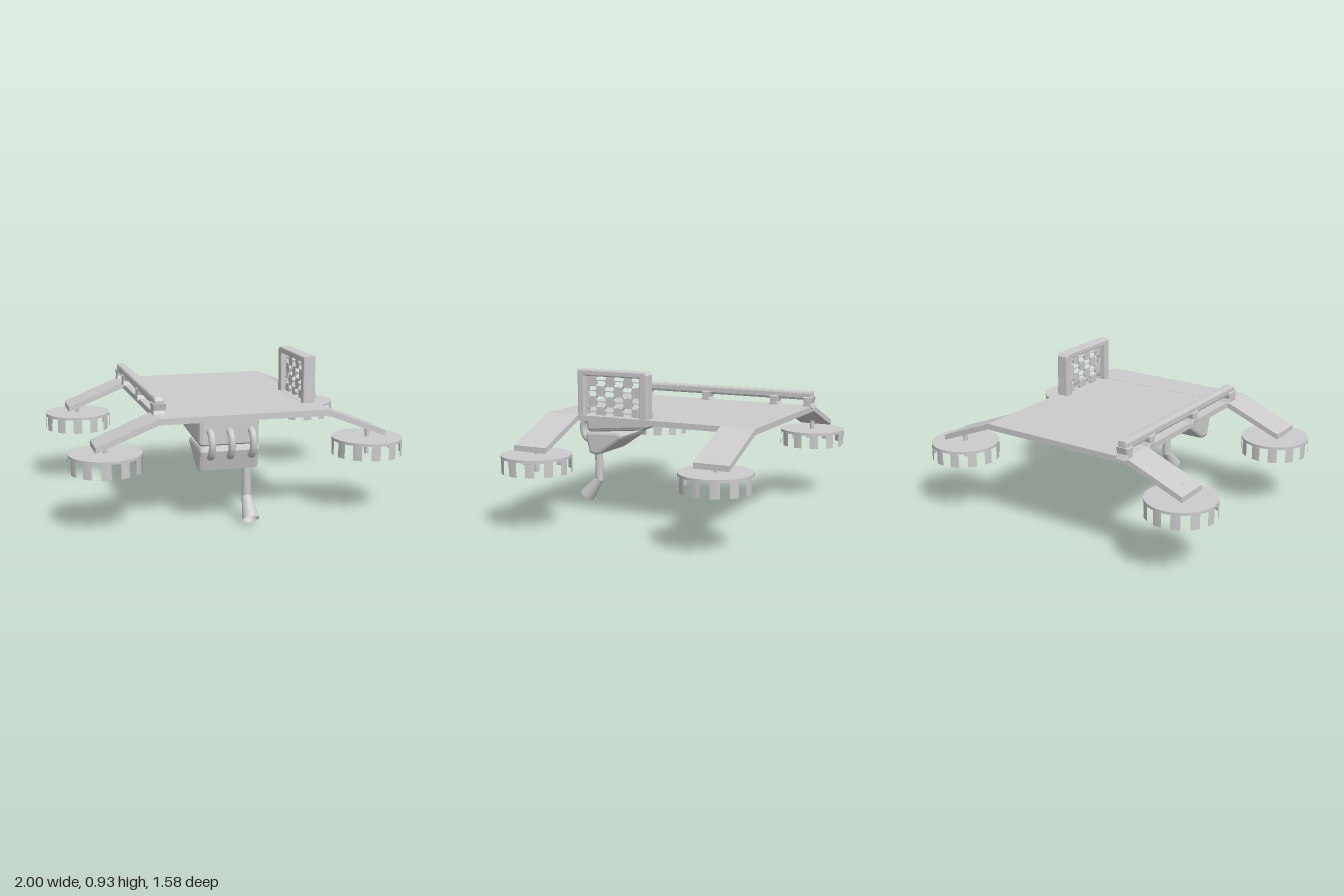
import * as THREE from 'three';

const grey = new THREE.MeshStandardMaterial({ color: 0xcccccc });
const greyDouble = new THREE.MeshStandardMaterial({ color: 0xcccccc, side: THREE.DoubleSide });
const V = (x, y, z) => new THREE.Vector3(x, y, z);

function add(parent, name, geometry, material = grey) {
  const mesh = new THREE.Mesh(geometry, material);
  mesh.name = name;
  parent.add(mesh);
  return mesh;
}

function box(parent, name, w, h, d, x, y, z) {
  const mesh = add(parent, name, new THREE.BoxGeometry(w, h, d));
  mesh.position.set(x, y, z);
  return mesh;
}

// Cylinder or cone between two points
function rod(parent, name, a, b, r0, r1 = r0, open = false) {
  const geo = new THREE.CylinderGeometry(r1, r0, a.distanceTo(b), 20, 1, open);
  const mesh = add(parent, name, geo, open ? greyDouble : grey);
  mesh.position.copy(a).lerp(b, 0.5);
  mesh.quaternion.setFromUnitVectors(V(0, 1, 0), b.clone().sub(a).normalize());
  return mesh;
}

const shapeOf = pts => new THREE.Shape(pts.map(p => new THREE.Vector2(...p)));

// Extrude an (x, y) outline from z0 to z1
function alongZ(pts, z0, z1) {
  return new THREE.ExtrudeGeometry(shapeOf(pts), { depth: z1 - z0, bevelEnabled: false }).translate(0, 0, z0);
}

// Extrude a (z, y) outline from x0 to x1, with chamfered edges
function alongX(pts, x0, x1, bevel) {
  return new THREE.ExtrudeGeometry(shapeOf(pts), {
    depth: x1 - x0 - 2 * bevel, bevelEnabled: true, bevelSize: bevel,
    bevelThickness: bevel, bevelOffset: -bevel, bevelSegments: 2,
  }).rotateY(-Math.PI / 2).translate(x1 - bevel, 0, 0);
}

// Round cap with wedge blades hanging below it
function makeRotor() {
  const rotor = new THREE.Group();
  rotor.name = 'rotor';
  const R = 0.21, blades = 12, pitch = Math.PI * 2 / blades;
  add(rotor, 'rotorCap', new THREE.CylinderGeometry(R, R, 0.016, 48)).position.y = 0.452;
  const sectors = [];
  for (let i = 0; i < blades; i++) {
    const s = new THREE.Shape();
    s.moveTo(0, 0);
    s.absarc(0, 0, R, i * pitch, (i + 0.5) * pitch, false);
    s.closePath();
    sectors.push(s);
  }
  const geo = new THREE.ExtrudeGeometry(sectors, { depth: 0.09, bevelEnabled: false, curveSegments: 4 });
  add(rotor, 'rotorBlades', geo.rotateX(Math.PI / 2).translate(0, 0.446, 0));
  rod(rotor, 'rotorShaft', V(0, 0.355, 0), V(0, 0.54, 0), 0.014);
  return rotor;
}

export function createModel() {
  const model = new THREE.Group();
  model.name = 'hoverPlatform';

  // Deck plate and the bent arm bars at its front and back
  box(model, 'deck', 1.0, 0.034, 1.38, 0, 0.642, 0);
  const armBar = [
    [-0.86, 0.482], [-0.5, 0.624], [0.5, 0.624], [0.86, 0.482],
    [0.86, 0.515], [0.5, 0.66], [-0.5, 0.66], [-0.86, 0.515],
  ];
  add(model, 'frontArms', alongZ(armBar, 0.47, 0.69));
  add(model, 'backArms', alongZ(armBar, -0.69, -0.475));

  // Four rotors under the arm tips
  for (const x of [-0.79, 0.79]) for (const z of [-0.58, 0.58]) {
    const rotor = makeRotor();
    rotor.position.set(x, 0, z);
    model.add(rotor);
  }

  // Long side rail with flared posts
  const rail = new THREE.Group();
  rail.name = 'sideRail';
  model.add(rail);
  add(rail, 'railBar', alongX([
    [-0.692, 0.7], [0.56, 0.7], [0.56, 0.735], [0.54, 0.755], [-0.692, 0.755],
  ], -0.502, -0.443, 0.014));
  for (const z of [-0.665, -0.435, 0.05, 0.52]) {
    const w = z > 0.5 ? 0.04 : 0.025;
    add(rail, 'railPost', alongX([
      [z - w - 0.015, 0.65], [z + w + 0.015, 0.65], [z + w, 0.68],
      [z + w + 0.01, 0.72], [z - w - 0.01, 0.72], [z - w, 0.68],
    ], -0.51, -0.435, 0.008));
  }

  // Upright screen: frame with an opening
  const screen = new THREE.Group();
  screen.name = 'screen';
  model.add(screen);
  const frame = shapeOf([
    [0.0, 0.63], [0.475, 0.63], [0.475, 0.938], [0.015, 0.938], [0.0, 0.92],
  ]);
  const z0 = 0.055, z1 = 0.428, y0 = 0.662, y1 = 0.9;
  frame.holes.push(new THREE.Path([[z0, y0], [z0, y1], [z1, y1], [z1, y0]].map(p => new THREE.Vector2(...p))));
  const frameGeo = new THREE.ExtrudeGeometry(frame, {
    depth: 0.06, bevelEnabled: true, bevelSize: 0.008, bevelThickness: 0.008, bevelOffset: -0.008, bevelSegments: 2,
  });
  add(screen, 'screenFrame', frameGeo.rotateY(-Math.PI / 2).translate(0.487, 0, 0));

  // Staggered discs joined by thin struts inside the frame
  const clampZ = z => Math.min(z1, Math.max(z0, z));
  for (let row = 0; row < 4; row++) {
    const y = 0.68 + row * 0.064;
    for (let i = 0; i < 3; i++) {
      const z = (row % 2 ? 0.145 : 0.09) + i * 0.122;
      const disc = add(screen, 'screenDisc', new THREE.CylinderGeometry(0.033, 0.033, 0.012, 12));
      disc.rotation.z = Math.PI / 2;
      disc.position.set(0.457, Math.min(y, 0.867), z);
      for (const dz of [-0.061, 0.061]) for (const dy of [-0.064, 0.064]) {
        const f = Math.min(1, (dy > 0 ? y1 - y : y - y0) / 0.064);
        rod(screen, 'screenStrut', V(0.457, y, z), V(0.457, y + dy * f, clampZ(z + dz * f)), 0.005);
      }
    }
    box(screen, 'screenWire', 0.006, 0.006, z1 - z0, 0.457, y, (z0 + z1) / 2);
  }

  // Engine: two tapered housings meeting in a V under the front edge
  const engine = new THREE.Group();
  engine.name = 'engine';
  model.add(engine);
  add(engine, 'upperHousing', alongX([
    [0.67, 0.63], [0.26, 0.63], [0.23, 0.6], [0.23, 0.535], [0.26, 0.512], [0.65, 0.475], [0.67, 0.49],
  ].reverse(), -0.27, 0.09, 0.025));
  add(engine, 'lowerHousing', alongX([
    [0.67, 0.48], [0.42, 0.49], [0.4, 0.465], [0.41, 0.445], [0.57, 0.335], [0.61, 0.325], [0.65, 0.335], [0.68, 0.45],
  ].reverse(), -0.268, 0.087, 0.02));

  // Hose loops joining the two housings
  for (const x of [-0.205, -0.09, 0.037]) {
    const path = new THREE.CatmullRomCurve3([
      V(x, 0.562, 0.63), V(x, 0.56, 0.69), V(x, 0.525, 0.717), V(x, 0.47, 0.718), V(x, 0.425, 0.69), V(x, 0.42, 0.63),
    ]);
    add(engine, 'hose', new THREE.TubeGeometry(path, 24, 0.021, 12));
  }

  // Exhaust pipe with an open, flared nozzle
  const elbow = V(0.03, 0.155, 0.606);
  rod(engine, 'exhaustPipe', V(0.03, 0.36, 0.606), elbow, 0.026, 0.027);
  add(engine, 'exhaustElbow', new THREE.SphereGeometry(0.0275, 20, 12)).position.copy(elbow);
  rod(engine, 'exhaustNozzle', elbow, V(0.03, 0.04, 0.7), 0.028, 0.05, true);

  return model;
}
